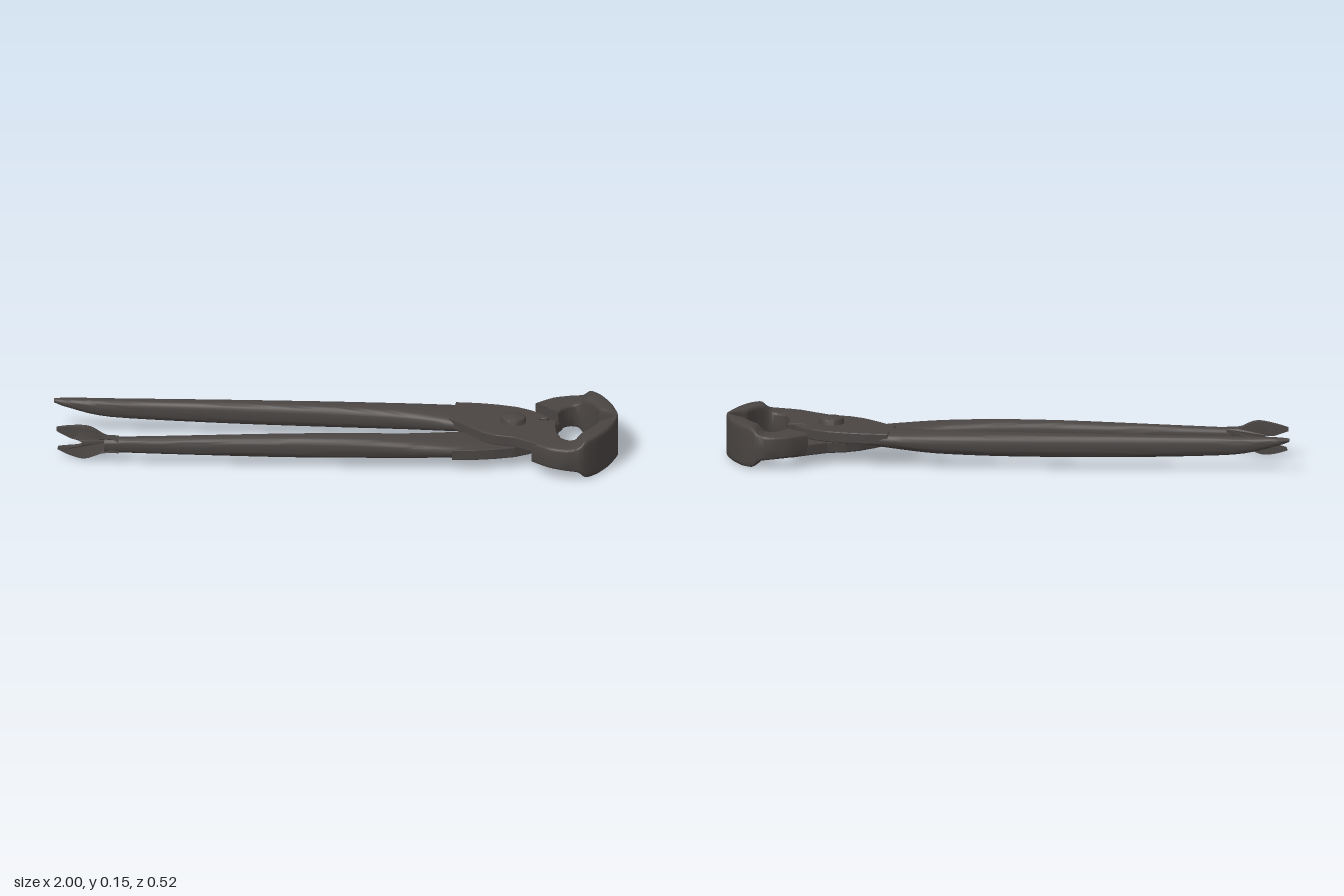
import * as THREE from 'three';
import { toCreasedNormals, mergeVertices } from 'three/addons/utils/BufferGeometryUtils.js';

const steel = new THREE.MeshStandardMaterial({ color: 0x4a4543 });
steel.name = 'dark steel';

function part(name, geometry) {
  const mesh = new THREE.Mesh(geometry, steel);
  mesh.name = name;
  return mesh;
}

// Skin over stations [outerX, outerZ, innerX, innerZ, yBottom, yTop].
// power 2 gives oval sections, larger powers give squarer ones.
function loft(stations, power, side = 1) {
  const curve = (f) => new THREE.CatmullRomCurve3(stations.map(f), false, 'catmullrom', 0.4);
  const outer = curve((s) => new THREE.Vector3(s[0], 0, s[1] * side));
  const inner = curve((s) => new THREE.Vector3(s[2], 0, s[3] * side));
  const height = curve((s) => new THREE.Vector3(s[4], s[5], 0));
  const rows = (stations.length - 1) * 5, n = 28;
  const pos = [], idx = [];
  const bulge = (v) => Math.sign(v) * Math.pow(Math.abs(v), 2 / power);
  for (let i = 0; i <= rows; i++) {
    const t = i / rows;
    const a = outer.getPoint(t), b = inner.getPoint(t), h = height.getPoint(t);
    for (let j = 0; j < n; j++) {
      const ang = (j / n) * Math.PI * 2;
      const p = a.clone().lerp(b, 0.5 + 0.5 * bulge(Math.cos(ang)));
      pos.push(p.x, (h.x + h.y) / 2 + ((h.y - h.x) / 2) * bulge(Math.sin(ang)), p.z);
    }
  }
  for (let i = 0; i < rows; i++) {
    for (let j = 0; j < n; j++) {
      const a = i * n + j, b = i * n + ((j + 1) % n);
      idx.push(a, b, a + n, b, b + n, a + n);
    }
  }
  // End caps
  for (let j = 1; j < n - 1; j++) {
    const e = rows * n;
    idx.push(0, j + 1, j, e, e + j, e + j + 1);
  }
  // Turn the faces outward if the enclosed volume is negative
  let volume = 0;
  const v = (k) => new THREE.Vector3().fromArray(pos, idx[k] * 3);
  for (let k = 0; k < idx.length; k += 3) volume += v(k).dot(v(k + 1).cross(v(k + 2)));
  if (volume < 0) idx.reverse();
  const g = new THREE.BufferGeometry();
  g.setAttribute('position', new THREE.Float32BufferAttribute(pos, 3));
  g.setIndex(idx);
  return toCreasedNormals(g, 0.6);
}

// Half-thickness plate of the lap joint
const plateOutline = [
  [0.42, -0.177], [0.5, -0.172], [0.57, -0.16], [0.64, -0.14], [0.69, -0.11], [0.73, -0.075],
  [0.755, -0.045], [0.745, -0.035], [0.725, -0.038], [0.72, -0.025], [0.735, -0.015],
  [0.783, -0.02], [0.78, 0.03], [0.786, 0.09], [0.8, 0.13], [0.76, 0.232], [0.7, 0.187],
  [0.635, 0.142], [0.57, 0.125], [0.52, 0.095], [0.47, 0.045], [0.43, -0.003], [0.4, -0.03],
];
function jointPlate(y0, y1, side) {
  const shape = new THREE.Shape(plateOutline.map(([x, z]) => new THREE.Vector2(x, -z * side)));
  const bevel = 0.004;
  const g = new THREE.ExtrudeGeometry(shape, {
    depth: y1 - y0 - 2 * bevel, bevelThickness: bevel, bevelSize: bevel,
    bevelOffset: -bevel, bevelSegments: 2,
  });
  g.rotateX(-Math.PI / 2).translate(0, y0 + bevel, 0);
  return g;
}

// Forked claw: an outline in x,y swept sideways, thinning and bending to its tip
function forkGeometry() {
  const s = new THREE.Shape();
  s.moveTo(-0.76, 0.042);
  s.lineTo(-0.8, 0.042);
  s.bezierCurveTo(-0.84, 0.035, -0.86, 0.004, -0.9, 0.006);
  s.quadraticCurveTo(-0.94, 0.01, -0.978, 0.026);
  s.lineTo(-0.975, 0.036);
  s.lineTo(-0.92, 0.046);
  s.quadraticCurveTo(-0.885, 0.05, -0.89, 0.066);
  s.quadraticCurveTo(-0.9, 0.074, -0.93, 0.075);
  s.lineTo(-0.982, 0.095);
  s.lineTo(-0.982, 0.108);
  s.quadraticCurveTo(-0.93, 0.122, -0.88, 0.124);
  s.bezierCurveTo(-0.84, 0.122, -0.83, 0.1, -0.8, 0.094);
  s.lineTo(-0.76, 0.092);
  const g = new THREE.ExtrudeGeometry(s, { depth: 1, bevelEnabled: false, curveSegments: 10 });
  const p = g.attributes.position;
  for (let i = 0; i < p.count; i++) {
    const t = Math.min(1, Math.max(0, (-0.8 - p.getX(i)) / 0.18));
    const centre = 0.137 - 0.053 * t, thick = 0.044 - 0.034 * t;
    p.setZ(i, centre + (p.getZ(i) - 0.5) * thick);
  }
  g.deleteAttribute('normal');
  g.deleteAttribute('uv');
  return toCreasedNormals(mergeVertices(g), 0.6);
}

export function createModel() {
  const group = new THREE.Group();
  group.name = 'pincers';

  // Handles: x, outer z, inner z, bottom, top
  const handle = (rows) => rows.map(([x, o, i, y0, y1]) => [x, o, x, i, y0, y1]);
  group.add(part('backHandle', loft(handle([
    [-1, -0.164, -0.148, 0.106, 0.118],
    [-0.95, -0.173, -0.135, 0.09, 0.121],
    [-0.8, -0.177, -0.125, 0.058, 0.121],
    [-0.4, -0.181, -0.114, 0.043, 0.122],
    [0, -0.183, -0.094, 0.04, 0.122],
    [0.25, -0.183, -0.065, 0.046, 0.121],
    [0.42, -0.179, -0.012, 0.062, 0.12],
    [0.55, -0.158, 0.02, 0.079, 0.119],
  ]), 3)));
  group.add(part('frontHandle', loft(handle([
    [-0.81, 0.16, 0.115, 0.042, 0.092],
    [-0.6, 0.165, 0.11, 0.038, 0.098],
    [-0.2, 0.172, 0.098, 0.033, 0.11],
    [0.05, 0.175, 0.084, 0.034, 0.112],
    [0.25, 0.178, 0.062, 0.036, 0.106],
    [0.42, 0.176, 0.012, 0.039, 0.094],
    [0.55, 0.156, -0.02, 0.041, 0.08],
  ]), 3)));
  group.add(part('forkedClaw', forkGeometry()));

  // Lap joint: each handle crosses over to the opposite jaw
  group.add(part('upperJointPlate', jointPlate(0.08, 0.12, 1)));
  group.add(part('lowerJointPlate', jointPlate(0.04, 0.08, -1)));

  // Jaws: curved arms flaring into tall cutting edges
  const jaw = [
    [0.7, 0.187, 0.785, 0.09, 0.04, 0.12],
    [0.76, 0.238, 0.8, 0.13, 0.04, 0.12],
    [0.82, 0.259, 0.825, 0.156, 0.037, 0.12],
    [0.868, 0.257, 0.853, 0.163, 0.03, 0.125],
    [0.896, 0.242, 0.875, 0.153, 0.006, 0.147],
    [0.935, 0.195, 0.902, 0.12, 0.001, 0.151],
    [0.97, 0.127, 0.922, 0.083, 0.001, 0.151],
    [0.985, 0.083, 0.931, 0.06, 0.001, 0.151],
    [0.995, 0.04, 0.965, 0.033, 0.001, 0.151],
    [1, 0.006, 0.994, 0.003, 0.001, 0.151],
  ];
  group.add(part('frontJaw', loft(jaw, 9, 1)));
  group.add(part('backJaw', loft(jaw, 9, -1)));

  // Pivot rivet with a domed head on each side
  const rivet = [
    [0, 0.02], [0.025, 0.021], [0.038, 0.025], [0.045, 0.032], [0.045, 0.132],
    [0.042, 0.139], [0.032, 0.144], [0, 0.146],
  ].map(([r, y]) => new THREE.Vector2(r, y));
  const pivot = part('pivotRivet', toCreasedNormals(new THREE.LatheGeometry(rivet, 32), 0.6));
  pivot.position.x = 0.63;
  group.add(pivot);

  return group;
}
